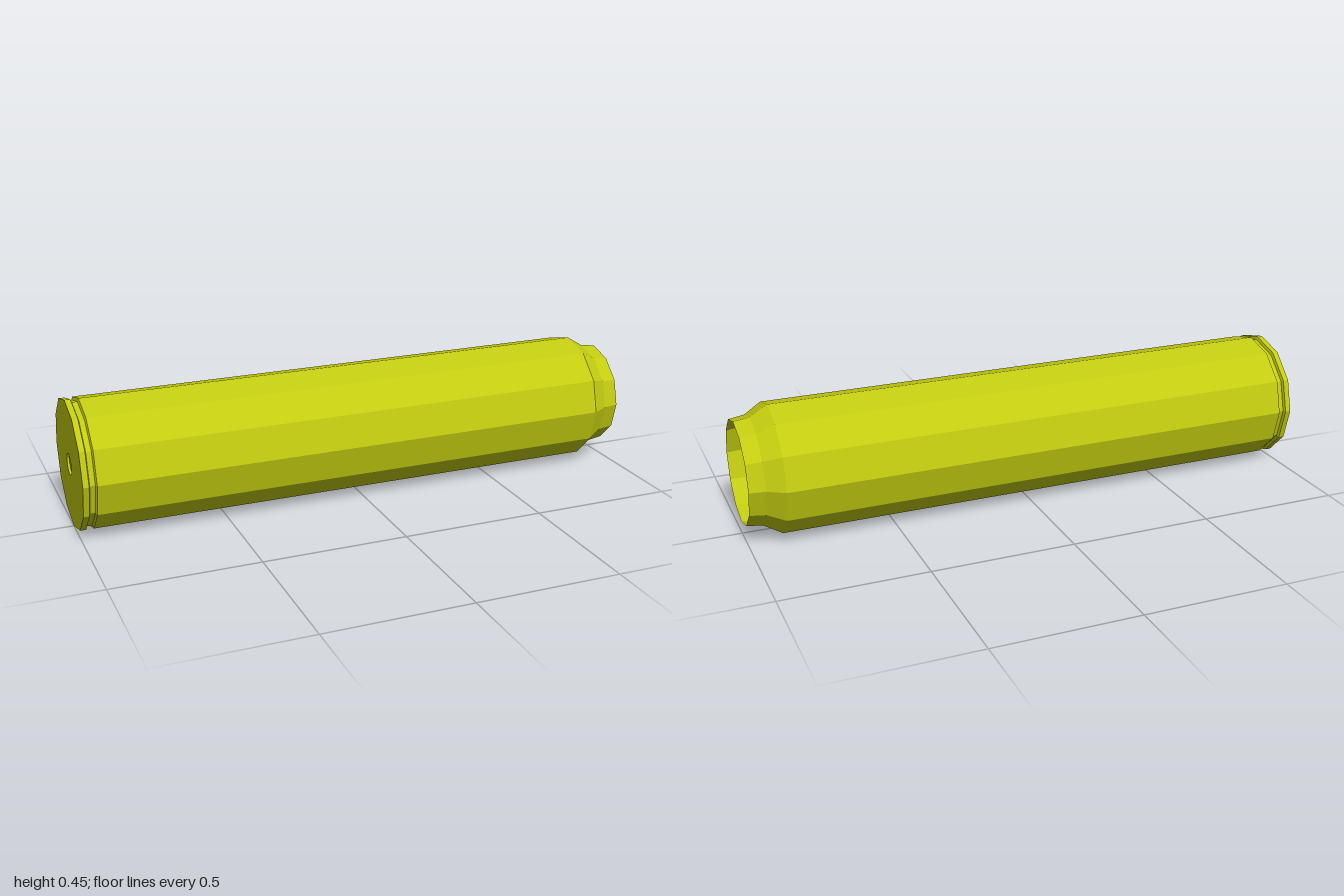
import * as THREE from 'three';

const SIDES = 12;
const RADIUS = 0.224;
const brass = new THREE.MeshStandardMaterial({ color: 0xc3cc10, flatShading: true, side: THREE.DoubleSide });
const grey = new THREE.MeshStandardMaterial({ color: 0x999999, flatShading: true, side: THREE.DoubleSide });

// Revolve [x, radius] pairs around the long (x) axis
function revolve(name, profile, sides, material) {
  const geometry = new THREE.LatheGeometry(profile.map(([x, r]) => new THREE.Vector2(r, x)), sides);
  geometry.rotateZ(-Math.PI / 2);
  const mesh = new THREE.Mesh(geometry, material);
  mesh.name = name;
  return mesh;
}

export function createModel() {
  const group = new THREE.Group();
  group.name = 'casing';

  // Thin open wall: rim, extractor groove, body, shoulder and neck
  group.add(revolve('caseWall', [
    [-1, RADIUS], [-0.98, RADIUS], [-0.976, 0.213], [-0.958, 0.213], [-0.954, RADIUS],
    [0.885, RADIUS], [0.945, 0.188], [1, 0.18],
  ], SIDES, brass));

  // Flat base with a round opening for the primer
  const outline = [];
  for (let i = 0; i < SIDES; i++) {
    const a = (i / SIDES) * Math.PI * 2;
    outline.push(new THREE.Vector2(Math.cos(a) * RADIUS, Math.sin(a) * RADIUS));
  }
  const shape = new THREE.Shape(outline);
  shape.holes.push(new THREE.Path().absarc(0, 0, 0.037, 0, Math.PI * 2, true));
  const base = new THREE.Mesh(new THREE.ShapeGeometry(shape, 12).rotateY(-Math.PI / 2), brass);
  base.position.x = -1;
  base.name = 'base';
  group.add(base);

  // Shallow pocket and the primer at its centre
  group.add(revolve('primerPocket', [[-1, 0.037], [-0.992, 0.037], [-0.992, 0.021]], 24, brass));
  const primer = new THREE.Mesh(new THREE.CircleGeometry(0.021, 24).rotateY(-Math.PI / 2), grey);
  primer.position.x = -0.992;
  primer.name = 'primer';
  group.add(primer);

  group.position.y = RADIUS;
  const model = new THREE.Group();
  model.add(group);
  return model;
}
